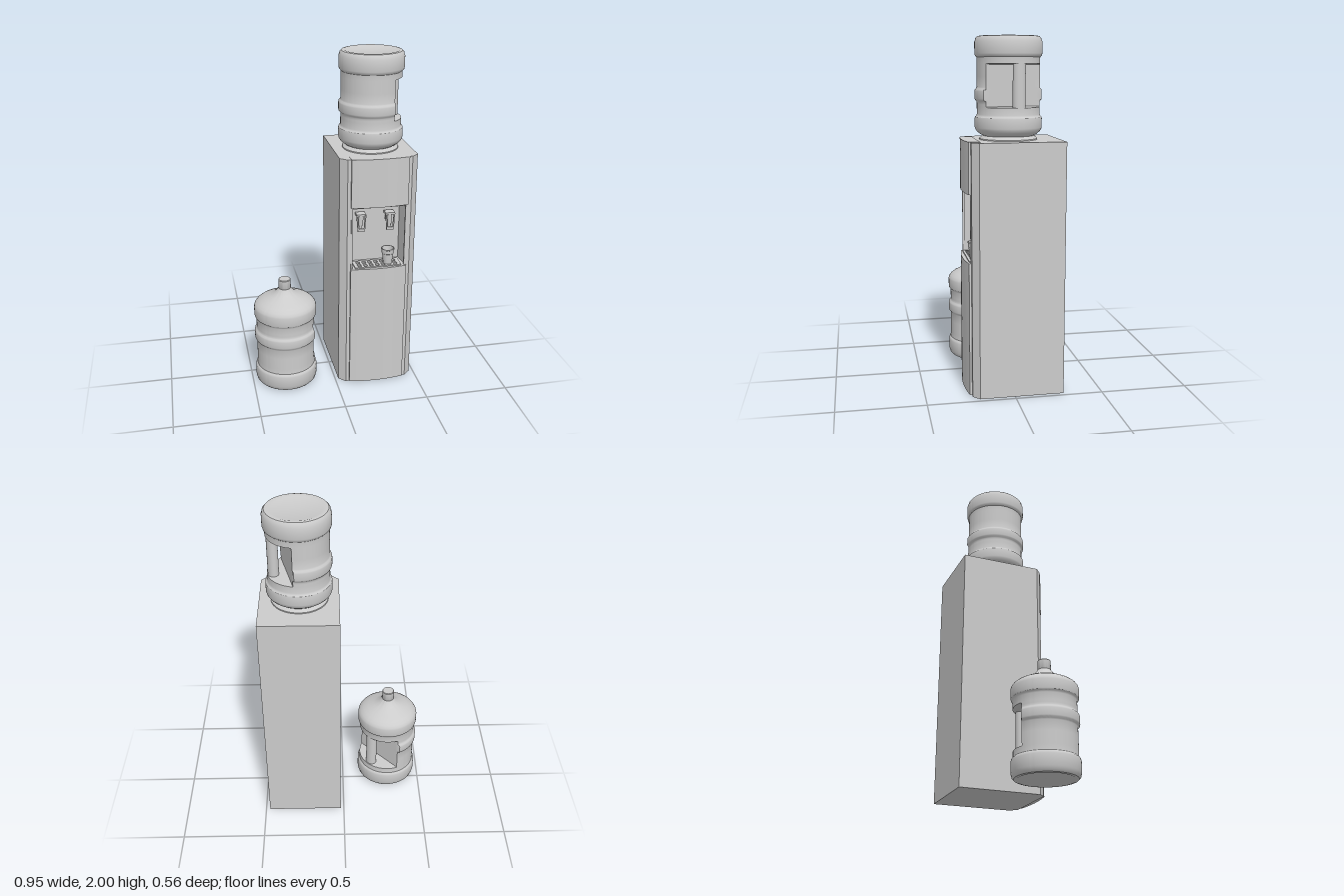
import * as THREE from 'three';
import { toCreasedNormals } from 'three/addons/utils/BufferGeometryUtils.js';

const grey = new THREE.MeshStandardMaterial({ color: 0xcccccc });
const thin = new THREE.MeshStandardMaterial({ color: 0xcccccc, side: THREE.DoubleSide });

function add(parent, name, geometry, x = 0, y = 0, z = 0, material = grey) {
  const mesh = new THREE.Mesh(geometry, material);
  mesh.name = name;
  mesh.position.set(x, y, z);
  parent.add(mesh);
  return mesh;
}

const box = (w, h, d) => new THREE.BoxGeometry(w, h, d);
const lathe = (pts, n = 48) =>
  toCreasedNormals(new THREE.LatheGeometry(pts.map(([r, y]) => new THREE.Vector2(r, y)), n), 0.6);

// Extrudes an [x, z] footprint (with optional holes) upward from y0 to y1
function slab(points, y0, y1, holes = []) {
  const toV = ([x, z]) => new THREE.Vector2(x, -z);
  const shape = new THREE.Shape(points.map(toV));
  holes.forEach(h => shape.holes.push(new THREE.Path(h.map(toV))));
  const g = new THREE.ExtrudeGeometry(shape, { depth: y1 - y0, bevelEnabled: false });
  g.rotateX(-Math.PI / 2).translate(0, y0, 0);
  return toCreasedNormals(g, 0.4);
}

// Water bottle standing on y = 0, with its grip recess facing +x
function makeBottle(name) {
  const bottle = new THREE.Group();
  bottle.name = name;
  const low = 0.15, high = 0.385, depth = 0.068;
  const profile = [
    [0, 0.008], [0.14, 0.006], [0.158, 0], [0.172, 0.003], [0.182, 0.014], [0.184, 0.025],
    [0.187, 0.032], [0.187, 0.095], [0.184, 0.106], [0.176, 0.114], [0.175, 0.125],
    [0.175, low - 0.004], [0.175, low], [0.175, low + 0.004], [0.175, 0.22], [0.175, 0.276],
    [0.178, 0.283], [0.185, 0.29], [0.187, 0.298], [0.187, 0.338], [0.185, 0.346],
    [0.178, 0.353], [0.175, 0.36], [0.175, high - 0.015], [0.175, high - 0.004], [0.175, high],
    [0.175, 0.425], [0.178, 0.434], [0.185, 0.44], [0.187, 0.448], [0.187, 0.497],
    [0.184, 0.508], [0.174, 0.522], [0.155, 0.537], [0.125, 0.552], [0.09, 0.567],
    [0.062, 0.583], [0.046, 0.6], [0.036, 0.615], [0.03, 0.625]
  ];
  const shell = new THREE.LatheGeometry(profile.map(([r, y]) => new THREE.Vector2(r, y)), 128);
  const p = shell.attributes.position;
  // Cut the flat grip recess by limiting x within its height range
  for (let i = 0; i < p.count; i++) {
    const x = p.getX(i), y = p.getY(i), z = p.getZ(i);
    if (y > low + 0.001 && y < high - 0.001 && x > depth) {
      const k = depth / x;
      p.setXYZ(i, depth, y, z * k);
    }
  }
  add(bottle, 'bottleShell', toCreasedNormals(shell, 0.6));
  const grip = new THREE.CylinderGeometry(0.036, 0.036, high - low + 0.02, 24);
  grip.scale(0.85, 1, 1);
  add(bottle, 'bottleGrip', grip, 0.141, (low + high) / 2, 0);
  add(bottle, 'bottleCap', lathe([[0, 0.61], [0.035, 0.61], [0.037, 0.614], [0.037, 0.667],
    [0.034, 0.671], [0, 0.671]], 32));
  return bottle;
}

// Dispensing tap, origin on the niche's back wall
function makeTap() {
  const tap = new THREE.Group();
  tap.name = 'tap';
  add(tap, 'tapMount', box(0.034, 0.05, 0.03), 0, 0.025, 0.015);
  add(tap, 'tapBody', new THREE.CylinderGeometry(0.017, 0.014, 0.07, 20), 0, 0.02, 0.038);
  add(tap, 'tapSpout', new THREE.CylinderGeometry(0.01, 0.01, 0.03, 16), 0, -0.025, 0.038);
  add(tap, 'tapTop', box(0.055, 0.014, 0.05), 0, 0.051, 0.035);
  for (const s of [-1, 1]) {
    const arm = add(tap, 'leverArm', box(0.007, 0.09, 0.01), s * 0.022, 0.01, 0.058);
    arm.rotation.z = s * -0.07;
  }
  add(tap, 'leverPaddle', box(0.042, 0.018, 0.01), 0, -0.04, 0.058);
  return tap;
}

export function createModel() {
  const model = new THREE.Group();
  model.name = 'waterCooler';
  const cx = 0.2475, nicheLow = 0.765, nicheHigh = 1.15, top = 1.435;

  // Cabinet: chamfered front corners, with a niche in the middle section
  const cabinet = new THREE.Group();
  cabinet.name = 'cabinet';
  model.add(cabinet);
  const left = [[0.06, 0.237], [0.02, 0.2], [0.02, -0.28]];
  const right = [[0.475, -0.28], [0.475, 0.2], [0.435, 0.237]];
  const niche = [[0.412, 0.237], [0.4, 0.12], [0.095, 0.12], [0.083, 0.237]];
  add(cabinet, 'cabinetBase', slab([...left, ...right], 0, nicheLow));
  add(cabinet, 'cabinetMiddle', slab([...left, ...right, ...niche], nicheLow, nicheHigh));
  add(cabinet, 'cabinetTop', slab([...left, ...right], nicheHigh, top));

  // Bowed front panels above and below the niche
  const panel = [[0.08, 0.185]];
  for (let i = 0; i <= 16; i++) {
    const t = i / 8 - 1;
    panel.push([cx + t * 0.1675, 0.266 - 0.016 * t * t]);
  }
  panel.push([0.415, 0.185]);
  add(cabinet, 'lowerPanel', slab(panel, 0.004, nicheLow + 0.002));
  add(cabinet, 'upperPanel', slab(panel, nicheHigh, top + 0.002));

  // Niche trim
  add(cabinet, 'nicheLintel', box(0.31, 0.018, 0.1), cx, nicheHigh - 0.009, 0.17);
  for (const s of [-1, 1]) {
    add(cabinet, 'nicheTrim', box(0.01, nicheHigh - nicheLow, 0.012),
      cx + s * 0.16, (nicheLow + nicheHigh) / 2, 0.235);
  }

  // Drip tray with slots
  const slots = [];
  for (let i = 0; i < 7; i++) {
    for (const z of [0.165, 0.205]) {
      const x = 0.128 + i * 0.036;
      slots.push([[x, z], [x + 0.022, z], [x + 0.022, z + 0.026], [x, z + 0.026]]);
    }
  }
  add(cabinet, 'dripTray', slab([[0.108, 0.15], [0.108, 0.245], [0.387, 0.245], [0.387, 0.15]],
    nicheLow, nicheLow + 0.009, slots));

  // Hot and cold taps
  for (const x of [0.157, 0.33]) {
    const tap = makeTap();
    tap.position.set(x, 1.022, 0.12);
    model.add(tap);
  }

  // Drinking cup
  add(model, 'cup', lathe([[0, 0], [0.026, 0], [0.033, 0.064], [0.035, 0.066], [0.036, 0.088],
    [0.039, 0.09], [0.039, 0.096], [0.034, 0.096], [0.024, 0.005], [0, 0.005]], 32),
    0.313, nicheLow + 0.008, 0.205, thin);

  // Collar holding the inverted bottle
  add(model, 'bottleCollar', lathe([[0.163, top - 0.002], [0.162, top + 0.006], [0.142, 1.458],
    [0.135, 1.466], [0.12, 1.466], [0.06, top]], 64), 0.245, 0, 0, thin);

  // Inverted bottle on the cooler
  const mounted = new THREE.Group();
  mounted.name = 'mountedBottle';
  const inverted = makeBottle('invertedBottle');
  inverted.rotation.x = Math.PI;
  mounted.add(inverted);
  mounted.position.set(0.245, 2, 0);
  mounted.rotation.y = 0.24;
  model.add(mounted);

  // Spare bottle on the floor
  const spare = makeBottle('spareBottle');
  spare.position.set(-0.29, 0, 0.094);
  spare.rotation.y = 0.75;
  model.add(spare);

  return model;
}
